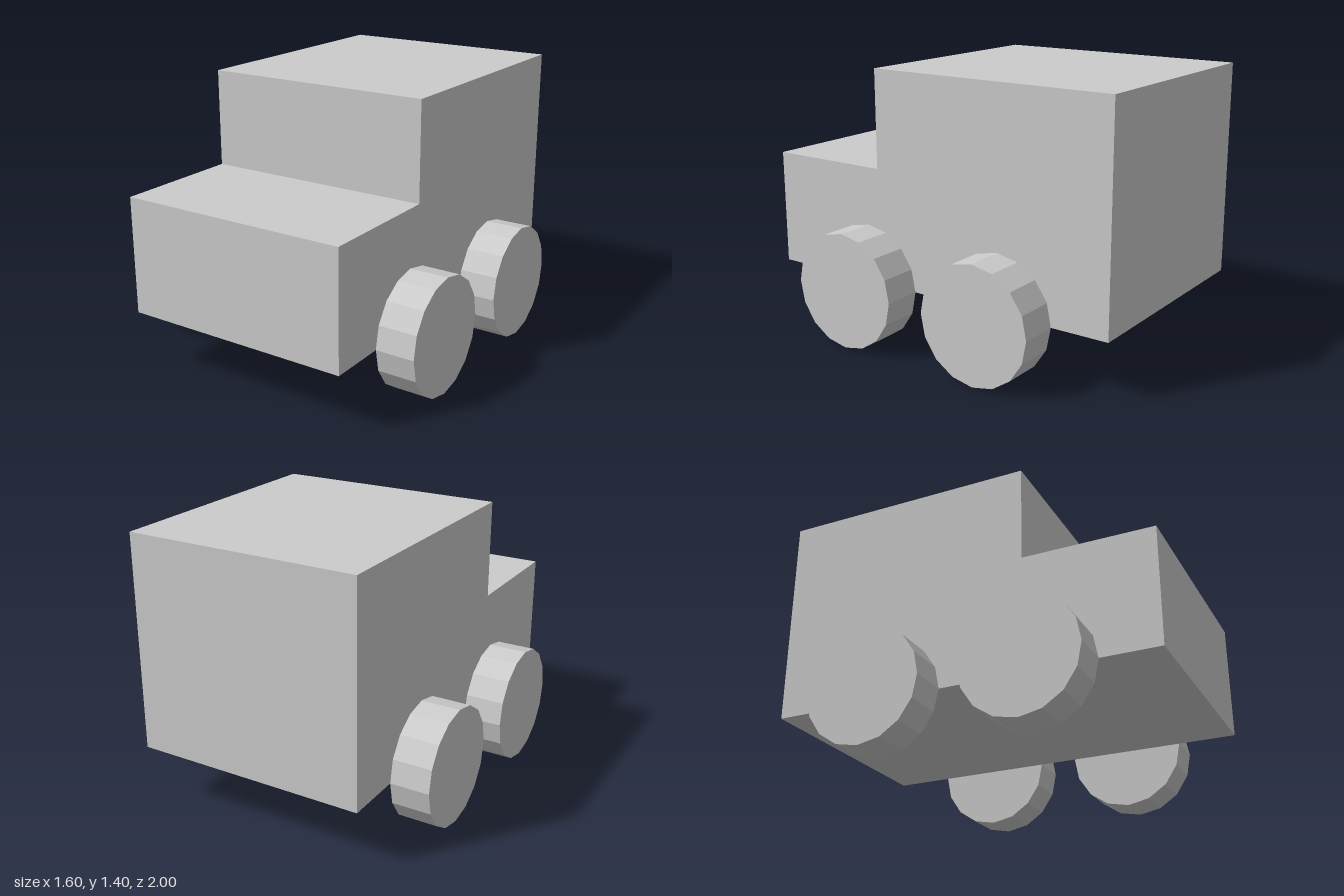
import * as THREE from 'three';

export function createModel() {
  const group = new THREE.Group();
  const material = new THREE.MeshStandardMaterial({ color: 0xcccccc, flatShading: true });

  // Body: stepped side profile (z, y) extruded across the width
  const width = 1.2;
  const profile = new THREE.Shape([
    [-1, 0.3], [1, 0.3], [1, 0.9], [0.33, 0.9], [0.33, 1.4], [-1, 1.4],
  ].map(([z, y]) => new THREE.Vector2(z, y)));
  const bodyGeometry = new THREE.ExtrudeGeometry(profile, { depth: width, bevelEnabled: false });
  bodyGeometry.translate(0, 0, -width / 2).rotateY(-Math.PI / 2);
  const body = new THREE.Mesh(bodyGeometry, material);
  body.name = 'body';
  group.add(body);

  // Wheels: four 16-sided discs against the body sides
  const wheelGeometry = new THREE.CylinderGeometry(0.3, 0.3, 0.2, 16).rotateZ(Math.PI / 2);
  for (const [side, x] of [['Left', 0.7], ['Right', -0.7]]) {
    for (const [end, z] of [['front', 0.4], ['back', -0.4]]) {
      const wheel = new THREE.Mesh(wheelGeometry, material);
      wheel.name = `${end}${side}Wheel`;
      wheel.position.set(x, 0.3, z);
      group.add(wheel);
    }
  }

  return group;
}
